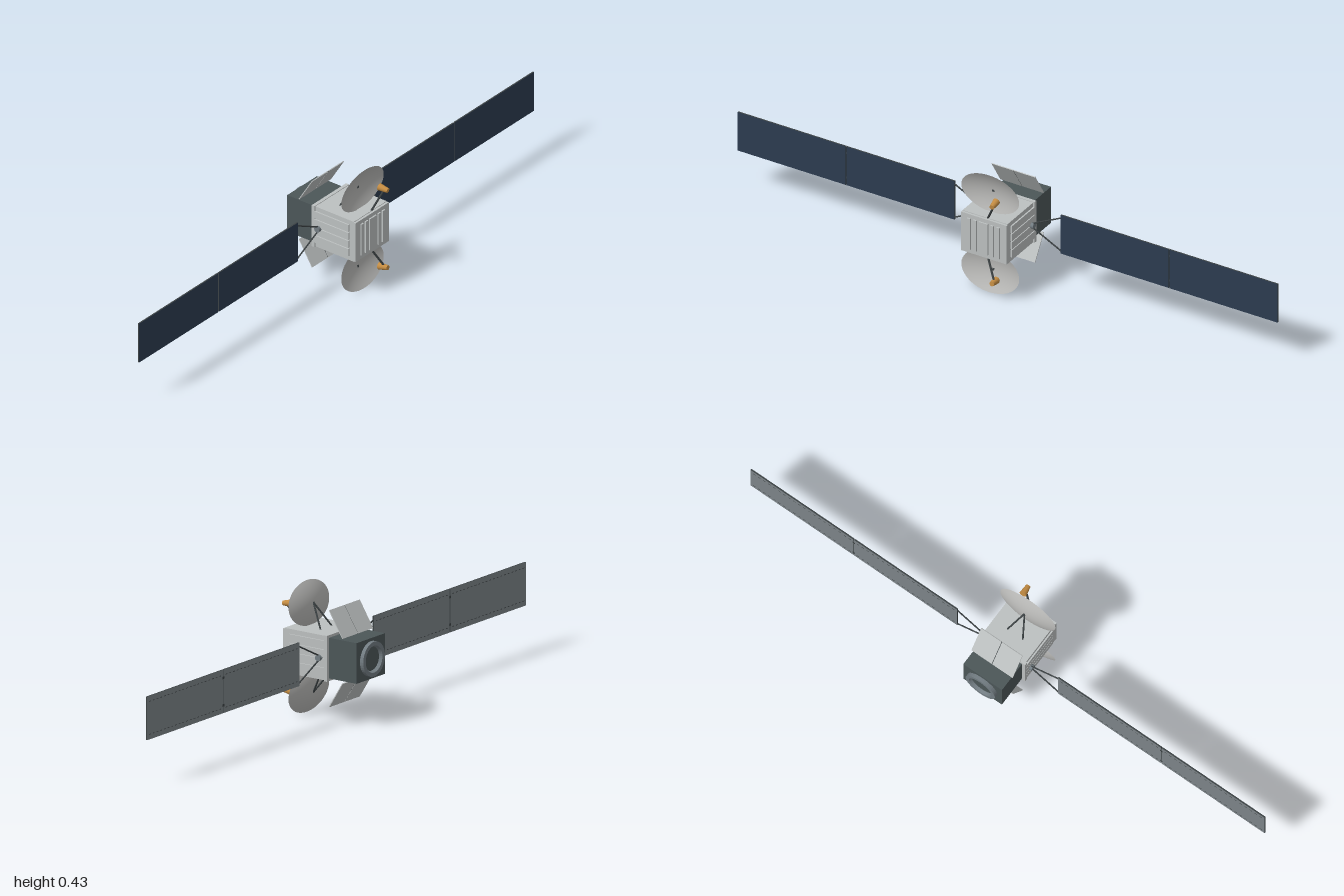
import * as THREE from 'three';

const mat = (name, color, side = THREE.FrontSide) => {
  const m = new THREE.MeshStandardMaterial({ color, side });
  m.name = name;
  return m;
};

export function createModel() {
  const silver = mat('silver body', 0xbcc0c0);
  const dishGrey = mat('dish grey', 0xb8b8b6, THREE.DoubleSide);
  const charcoal = mat('charcoal', 0x4c5658);
  const strutDark = mat('dark strut', 0x3c4244);
  const navy = mat('solar navy', 0x2c3c50);
  const panelBack = mat('panel back grey', 0x7c8488);
  const ringGrey = mat('ring grey', 0x727c82);
  const gold = mat('horn gold', 0xc48c42);

  const root = new THREE.Group();
  root.name = 'satellite';
  const CY = 0.222, PZ = -0.011;

  const add = (name, geo, material, x = 0, y = 0, z = 0, parent = root) => {
    const m = new THREE.Mesh(geo, material);
    m.name = name;
    m.position.set(x, y, z);
    parent.add(m);
    return m;
  };
  const box = (name, material, w, h, d, x, y, z, parent) =>
    add(name, new THREE.BoxGeometry(w, h, d), material, x, y, z, parent);

  // Tapered rod between two points
  const rod = (name, a, b, r0, r1, material, sides = 8) => {
    const p = new THREE.Vector3(...a), q = new THREE.Vector3(...b);
    const dir = q.clone().sub(p);
    const m = add(name, new THREE.CylinderGeometry(r1, r0, dir.length(), sides), material);
    m.position.copy(p).add(q).multiplyScalar(0.5);
    m.quaternion.setFromUnitVectors(new THREE.Vector3(0, 1, 0), dir.normalize());
    return m;
  };

  // Main body with end frames
  box('body', silver, 0.166, 0.146, 0.164, 0, CY, 0.045);
  box('rearFrame', silver, 0.174, 0.15, 0.012, 0, CY, -0.034);
  box('frontFrame', silver, 0.168, 0.142, 0.008, 0, CY, 0.131);

  // Vertical louvres on the front face
  for (const x of [-0.054, -0.032, 0, 0.032, 0.054])
    box('frontLouvre', silver, x ? 0.012 : 0.034, 0.114, 0.006, x, CY, 0.137);

  // Horizontal louvres on both sides
  for (const s of [-1, 1])
    for (let i = 0; i < 4; i++)
      box('sideLouvre', silver, 0.005, 0.026, 0.142, s * 0.0855, CY + (i - 1.5) * 0.0295, 0.038);

  // Rear service module and engine ring
  box('serviceModule', charcoal, 0.15, 0.133, 0.108, 0, CY, -0.094);
  const ringProfile = [[0.038, 0], [0.057, 0], [0.057, 0.014], [0.044, 0.014], [0.038, 0]]
    .map(p => new THREE.Vector2(...p));
  const ringGeo = new THREE.LatheGeometry(ringProfile, 40).toNonIndexed();
  ringGeo.computeVertexNormals();
  add('engineRing', ringGeo, ringGrey, 0, CY, -0.147).rotation.x = -Math.PI / 2;
  add('engineThroat', new THREE.CylinderGeometry(0.039, 0.039, 0.004, 32), charcoal, 0, CY, -0.149)
    .rotation.x = Math.PI / 2;

  // Dishes, feed horns and rear flaps above (s = 1) and below (s = -1)
  const dishProfile = [];
  for (let i = 0; i <= 10; i++) dishProfile.push(new THREE.Vector2(i / 10, (i / 10) ** 2));
  const dishGeo = new THREE.LatheGeometry(dishProfile, 48);
  dishGeo.scale(0.107, 0.019, 0.0725);
  dishGeo.rotateX(Math.PI / 2);

  for (const s of [1, -1]) {
    const Y = v => CY + s * v;
    add('dish', dishGeo, dishGrey, 0, Y(0.1455), 0.077).rotation.x = s * 0.11;
    box('dishHub', strutDark, 0.006, 0.006, 0.003, 0, Y(0.1455), 0.078);
    for (const x of [-0.03, 0.03])
      rod('dishStrut', [x, Y(0.071), 0.027], [0, Y(0.147), 0.078], 0.0028, 0.0028, strutDark);

    // Feed horn widens toward the dish
    rod('feedArm', [0.008, Y(0.07), 0.124], [0.044, Y(0.136), 0.146], 0.0035, 0.0035, strutDark);
    rod('feedHorn', [0.046, Y(0.141), 0.162], [0.043, Y(0.145), 0.129], 0.008, 0.012, gold, 20);

    // Tilted two-leaf flap over the service module
    const flap = new THREE.Group();
    flap.name = 'flap';
    flap.position.set(0, Y(0.1155), -0.07);
    flap.rotation.x = s * Math.atan2(0.053, 0.085);
    root.add(flap);
    for (const x of [-0.0405, 0.0405]) box('flapLeaf', silver, 0.079, 0.1, 0.003, x, 0, 0, flap);
    box('flapSeam', strutDark, 0.002, 0.1, 0.0015, 0, 0, 0, flap);
  }

  // Solar wings
  const faces = [strutDark, strutDark, strutDark, strutDark, navy, panelBack];
  for (const s of [-1, 1]) {
    const hub = add('wingHub', new THREE.CylinderGeometry(0.01, 0.01, 0.016, 20), ringGrey, s * 0.09, CY, PZ);
    hub.rotation.z = Math.PI / 2;
    for (const v of [-1, 1])
      rod('yokeArm', [s * 0.092, CY + v * 0.008, PZ], [s * 0.197, CY + v * 0.061, PZ], 0.0025, 0.0025, strutDark);

    for (const x of [0.396, 0.799]) {
      box('solarPanel', faces, 0.4, 0.142, 0.005, s * x, 0.224, PZ);
      // Dashed fixing lines on the back
      for (const v of [-1, 1])
        for (let i = 0; i < 20; i++)
          box('panelFixing', strutDark, 0.009, 0.002, 0.001,
            s * x + (i - 9.5) * 0.0195, 0.224 + v * 0.054, PZ - 0.0027);
    }
    // Hinges joining the two panels
    for (const v of [-1, 1])
      box('panelHinge', strutDark, 0.01, 0.008, 0.003, s * 0.5975, 0.224 + v * 0.045, PZ - 0.002);
  }
  return root;
}
